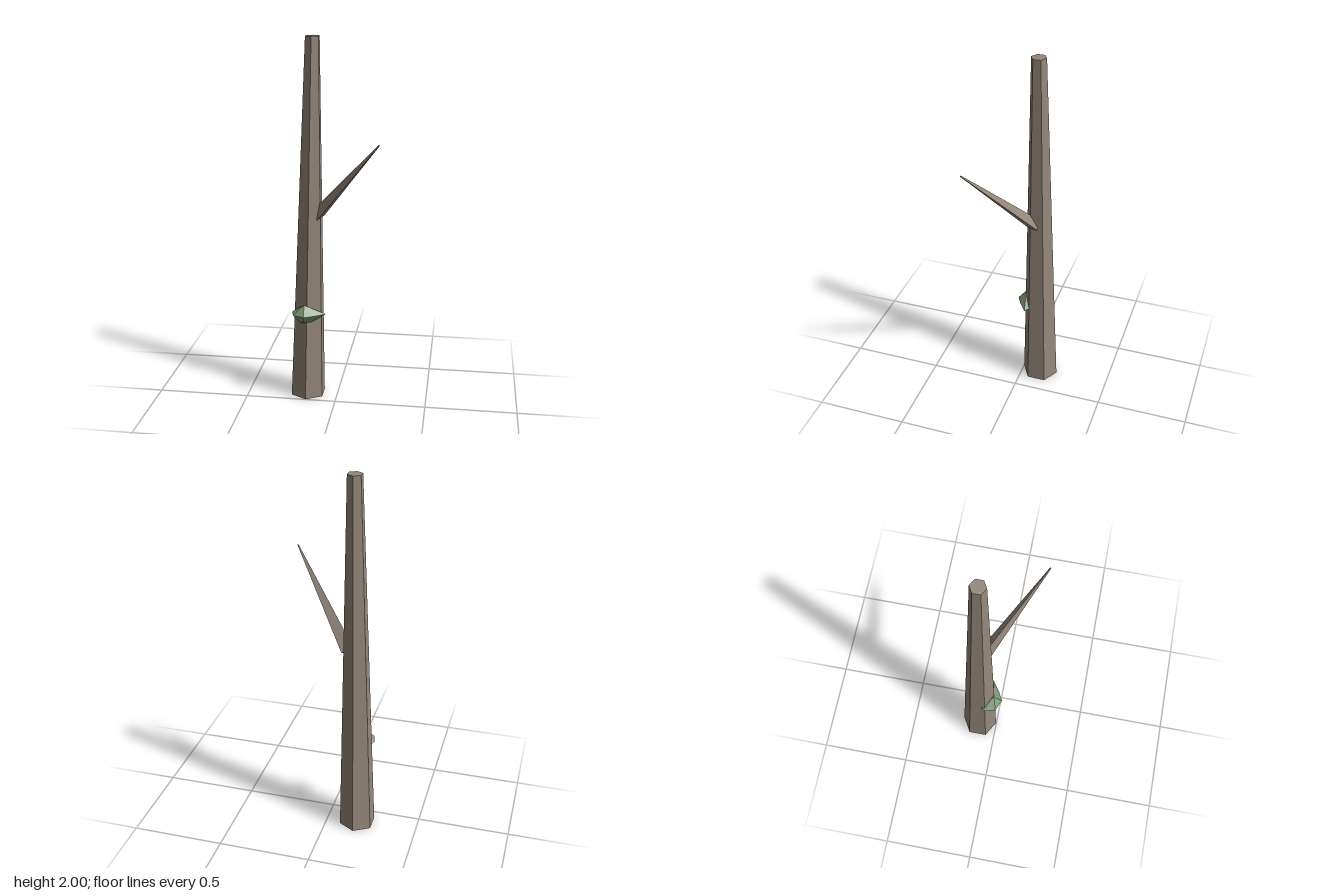
import * as THREE from 'three';

// Skin a list of rings (counter-clockwise seen from the far end) with quads.
function loft(rings) {
  const n = rings[0].length, pos = [], idx = [];
  rings.forEach(r => r.forEach(p => pos.push(p.x, p.y, p.z)));
  for (let k = 0; k < rings.length - 1; k++) {
    for (let i = 0; i < n; i++) {
      const j = (i + 1) % n, a = k * n, b = a + n;
      idx.push(a + i, a + j, b + j, a + i, b + j, b + i);
    }
  }
  const g = new THREE.BufferGeometry();
  g.setAttribute('position', new THREE.Float32BufferAttribute(pos, 3));
  g.setIndex(idx);
  g.computeVertexNormals();
  return g;
}

// Regular polygon around a centre, spanned by two perpendicular axes.
function polygon(center, radius, sides, start, u, v) {
  return Array.from({ length: sides }, (_, i) => {
    const a = start + (i * 2 * Math.PI) / sides;
    return center.clone().addScaledVector(u, radius * Math.cos(a)).addScaledVector(v, radius * Math.sin(a));
  });
}

const vec = (x, y, z) => new THREE.Vector3(x, y, z);

export function createModel() {
  const group = new THREE.Group();
  const bark = new THREE.MeshStandardMaterial({ color: 0x95887b, flatShading: true, side: THREE.DoubleSide });
  const green = new THREE.MeshStandardMaterial({ color: 0x7d9c76, flatShading: true });
  const add = (name, geometry, material) => {
    const m = new THREE.Mesh(geometry, material);
    m.name = name;
    group.add(m);
  };

  // Leaning, tapered six-sided trunk, open underneath
  const foot = vec(-0.167, 0, -0.102), head = vec(-0.127, 2, -0.078);
  const east = vec(1, 0, 0), north = vec(0, 0, -1);
  add('trunk', loft([
    polygon(foot, 0.1, 6, Math.PI / 6, east, north),
    polygon(head, 0.04, 6, Math.PI / 6, east, north),
    polygon(head, 0, 6, 0, east, north),
  ]), bark);

  // Thin three-sided side branch
  const base = vec(-0.1, 1.056, -0.073), tip = vec(0.248, 1.5, 0.197);
  const dir = tip.clone().sub(base).normalize();
  const across = dir.clone().cross(vec(0, 1, 0)).normalize().negate();
  const up = dir.clone().cross(across);
  if (up.y < 0) { across.negate(); up.negate(); }
  const turn = THREE.MathUtils.degToRad(105);
  add('branch', loft([[base, 0], [base, 0.04], [tip, 0.004], [tip, 0]]
    .map(([c, r]) => polygon(c, r, 3, turn, across, up))), bark);

  // Faceted bracket fungus: one irregular outline scaled per level
  const outline = [[-0.245, -0.05], [-0.23, 0.008], [-0.167, 0.035], [-0.12, 0.01],
    [-0.055, -0.035], [-0.11, -0.075], [-0.232, -0.075]];
  const cx = -0.172, cz = -0.01;
  add('fungus', loft([[0, 0.455], [0.35, 0.462], [1, 0.505], [0, 0.56]].map(([s, y]) =>
    outline.map(([x, z]) => vec(cx + (x - cx) * s, y, cz + (z - cz) * s)))), green);

  return group;
}
